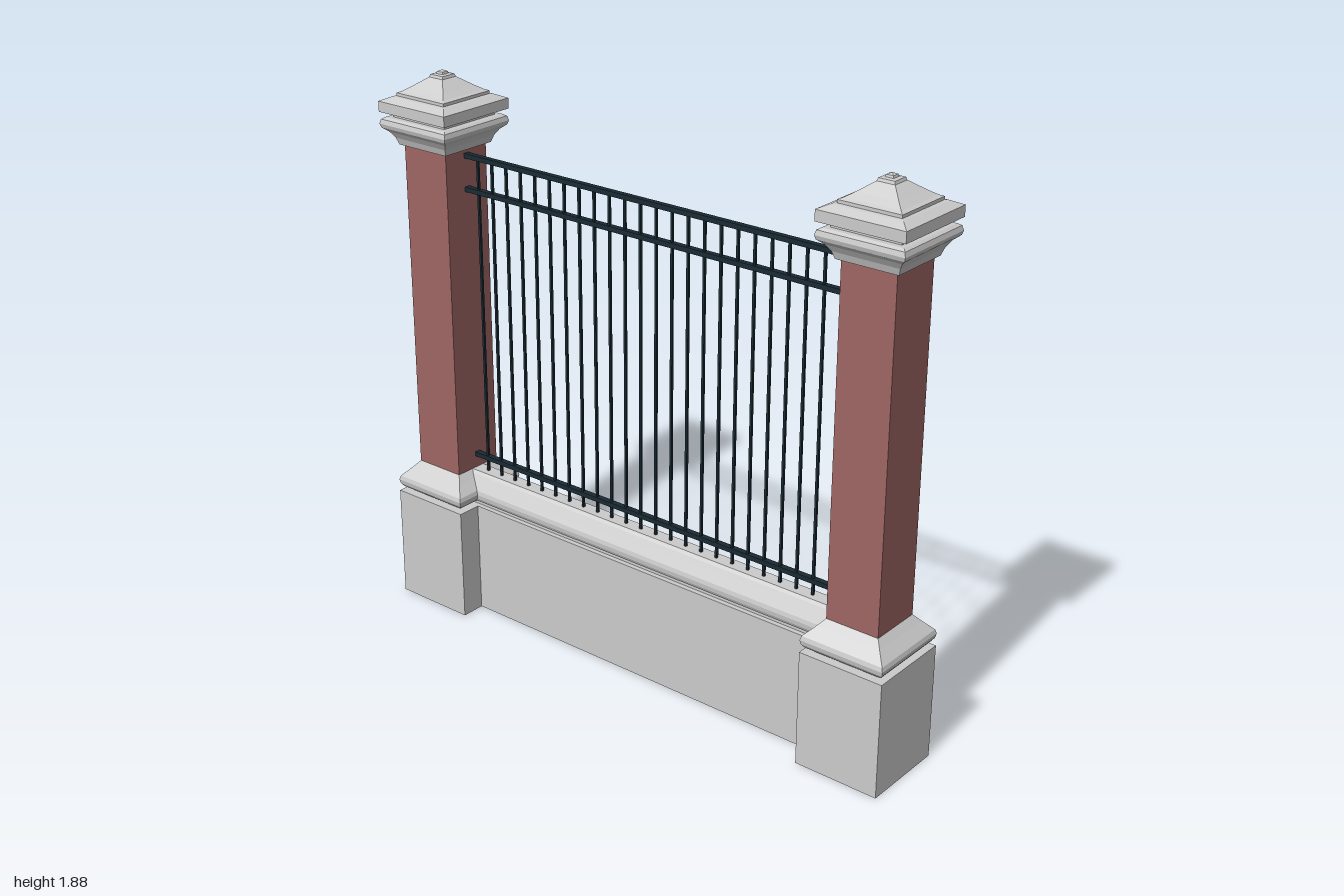
import * as THREE from 'three';

const stone = new THREE.MeshStandardMaterial({ color: 0xcccccc, flatShading: true });
const brick = new THREE.MeshStandardMaterial({ color: 0x9e6662, flatShading: true });
const iron = new THREE.MeshStandardMaterial({ color: 0x1a2a33, flatShading: true });

const PILLAR_Z = 0.853;
const PILLAR_HALF = 0.147;
const SHAFT_HALF = 0.092;
const WALL_HALF = 0.063;
const BASE_TOP = 0.393;
const PLINTH_TOP = 0.505;

// Profiles are [half width, height], from bottom to top
const plinthProfile = [
  [0.115, 0.393], [0.115, 0.405], [0.135, 0.408], [0.144, 0.42],
  [0.147, 0.435], [0.143, 0.449], [0.112, 0.482], [0.092, 0.505],
];
const wallProfile = [
  [0.046, 0.393], [0.046, 0.405], [0.055, 0.408], [0.061, 0.42],
  [0.063, 0.435], [0.06, 0.449], [0.033, 0.495], [0.025, 0.505],
];
const capProfile = [
  [0.092, 1.635], [0.104, 1.637], [0.112, 1.66], [0.125, 1.68], [0.143, 1.695],
  [0.147, 1.708], [0.143, 1.723], [0.133, 1.729], [0.115, 1.729], [0.115, 1.747],
  [0.147, 1.747], [0.147, 1.782], [0.116, 1.796], [0.105, 1.798], [0.105, 1.808],
  [0.093, 1.813], [0.07, 1.828], [0.03, 1.857], [0.027, 1.866], [0.014, 1.868],
  [0.012, 1.875], [0, 1.88],
];

function add(parent, name, geometry, material, x = 0, y = 0, z = 0) {
  const mesh = new THREE.Mesh(geometry, material);
  mesh.name = name;
  mesh.position.set(x, y, z);
  parent.add(mesh);
  return mesh;
}

// Square turned moulding: a four-sided lathe with its sides facing the axes
function squareMoulding(profile) {
  const points = profile.map(([h, y]) => new THREE.Vector2(h * Math.SQRT2, y));
  return new THREE.LatheGeometry(points, 4, Math.PI / 4).toNonIndexed();
}

// Straight moulding: the mirrored profile extruded along z
function straightMoulding(profile, length) {
  const right = profile.map(([h, y]) => new THREE.Vector2(h, y));
  const left = profile.map(([h, y]) => new THREE.Vector2(-h, y)).reverse();
  const geometry = new THREE.ExtrudeGeometry(new THREE.Shape([...right, ...left]), {
    depth: length, bevelEnabled: false,
  });
  return geometry.translate(0, 0, -length / 2);
}

function createPillar() {
  const pillar = new THREE.Group();
  pillar.name = 'pillar';
  const base = 2 * PILLAR_HALF;
  add(pillar, 'pillarBase', new THREE.BoxGeometry(base, BASE_TOP, base), stone, 0, BASE_TOP / 2);
  add(pillar, 'pillarPlinth', squareMoulding(plinthProfile), stone);
  const height = 1.64 - PLINTH_TOP + 0.01;
  add(pillar, 'brickShaft', new THREE.BoxGeometry(2 * SHAFT_HALF, height, 2 * SHAFT_HALF),
    brick, 0, PLINTH_TOP - 0.01 + height / 2);
  add(pillar, 'pillarCap', squareMoulding(capProfile), stone);
  return pillar;
}

function createRailing() {
  const railing = new THREE.Group();
  railing.name = 'railing';
  const length = 2 * (PILLAR_Z - SHAFT_HALF) + 0.01;
  for (const y of [0.555, 1.502, 1.615]) {
    add(railing, 'rail', new THREE.BoxGeometry(0.02, 0.016, length), iron, 0, y);
  }
  // Evenly spaced upright bars
  const count = 24;
  const barGeometry = new THREE.BoxGeometry(0.008, 1.11, 0.008);
  for (let i = 0; i < count; i++) {
    const z = THREE.MathUtils.lerp(-0.709, 0.709, i / (count - 1));
    add(railing, 'bar', barGeometry, iron, 0, 1.058, z);
  }
  return railing;
}

export function createModel() {
  const model = new THREE.Group();
  model.name = 'fenceSection';

  // Two matching end pillars
  for (const side of [1, -1]) {
    const pillar = createPillar();
    pillar.position.z = side * PILLAR_Z;
    model.add(pillar);
  }

  // Low wall with its coping between the pillars
  const wallLength = 2 * (PILLAR_Z - PILLAR_HALF) + 0.01;
  add(model, 'lowWall', new THREE.BoxGeometry(2 * WALL_HALF, BASE_TOP, wallLength),
    stone, 0, BASE_TOP / 2);
  add(model, 'wallCoping', straightMoulding(wallProfile, 2 * (PILLAR_Z - SHAFT_HALF)), stone);

  model.add(createRailing());
  return model;
}
